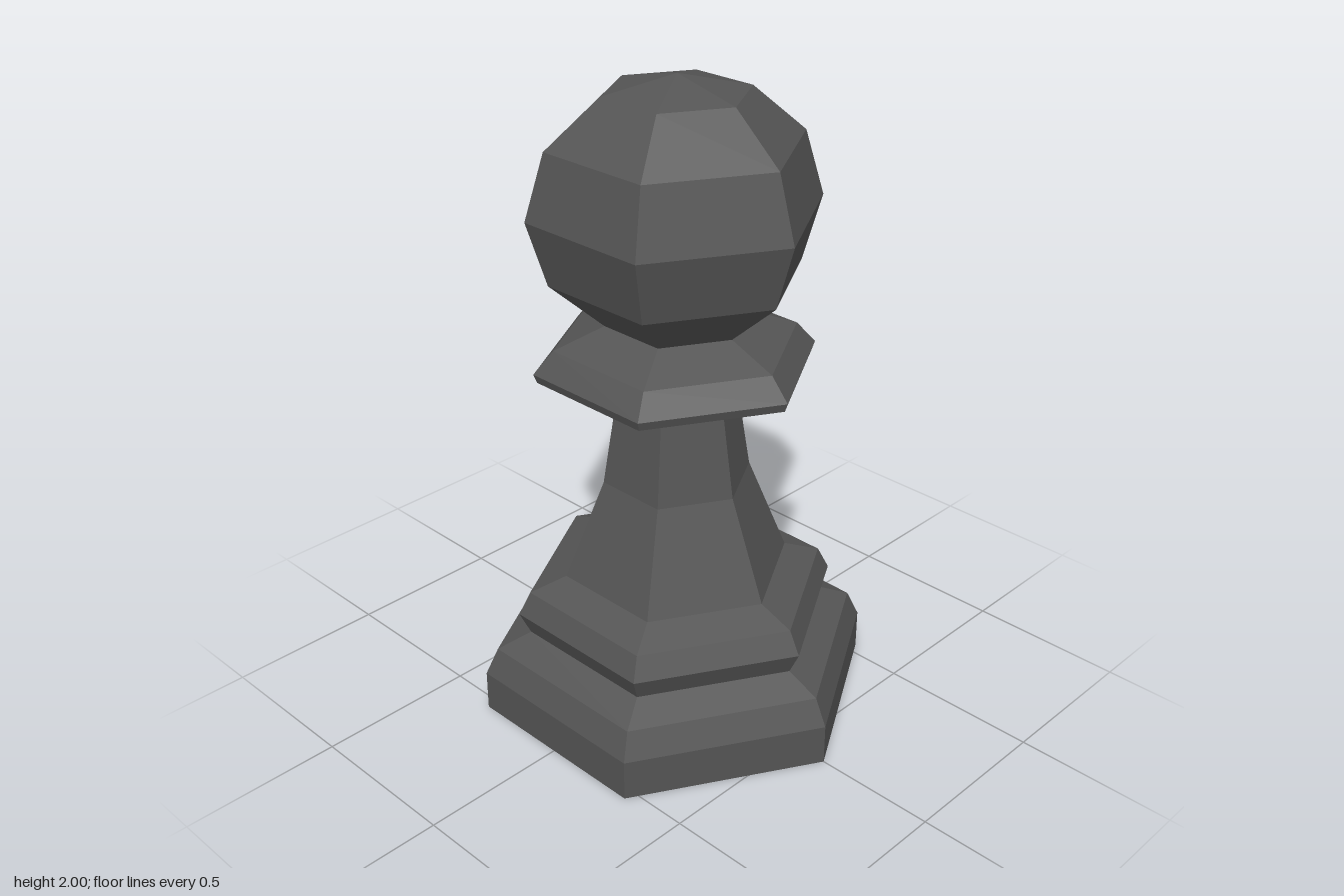
import * as THREE from 'three';

export function createModel() {
  const group = new THREE.Group();
  const material = new THREE.MeshStandardMaterial({ color: 0x555555, flatShading: true });

  // Six-sided turned part with corners on the x axis; profile runs bottom to top as [radius, y]
  function turned(name, profile) {
    const points = profile.map(([r, y]) => new THREE.Vector2(r, y));
    const mesh = new THREE.Mesh(new THREE.LatheGeometry(points, 6, Math.PI / 6), material);
    mesh.name = name;
    group.add(mesh);
  }

  // Wide foot, closed underneath
  turned('base', [[0, 0], [0.62, 0], [0.62, 0.13], [0.58, 0.215], [0.473, 0.26]]);

  // Bulging ring above the foot
  turned('baseRing', [[0.473, 0.26], [0.507, 0.332], [0.47, 0.405], [0.355, 0.446]]);

  // Tapering shaft
  turned('shaft', [[0.355, 0.446], [0.23, 0.76], [0.173, 1.12]]);

  // Collar with a flat underside
  turned('collar', [[0.173, 1.12], [0.42, 1.12], [0.43, 1.147], [0.37, 1.215], [0.217, 1.275]]);

  // Faceted ball
  turned('head', [[0.217, 1.275], [0.377, 1.417], [0.436, 1.613], [0.377, 1.81], [0.217, 1.95], [0, 2]]);

  return group;
}
